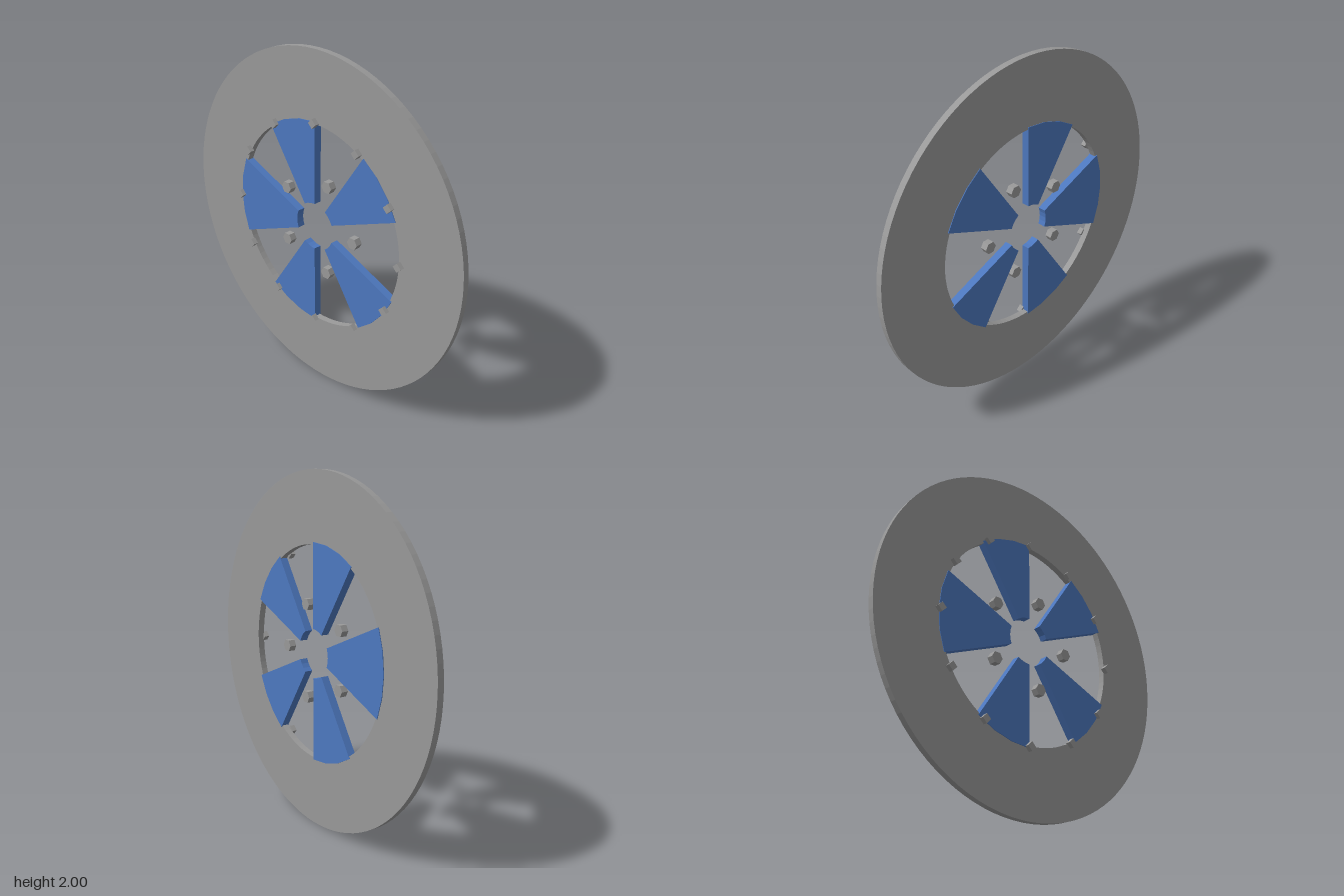
import * as THREE from 'three';

const STEP = Math.PI / 16; // wedge edges fall on 1/32-turn steps

export function createModel() {
  const grey = new THREE.MeshStandardMaterial({ color: 0x999999 });
  grey.name = 'steel grey';
  const blue = new THREE.MeshStandardMaterial({ color: 0x4d78bf });
  blue.name = 'blue';

  const model = new THREE.Group();
  model.name = 'wheelDisc';
  const wheel = new THREE.Group();
  wheel.name = 'wheel';
  wheel.position.y = 1;
  model.add(wheel);

  const add = (name, geometry, material, x = 0, y = 0, z = 0) => {
    const mesh = new THREE.Mesh(geometry, material);
    mesh.name = name;
    mesh.position.set(x, y, z);
    wheel.add(mesh);
  };
  const extrude = (shape, depth, curveSegments = 12) =>
    new THREE.ExtrudeGeometry(shape, { depth, curveSegments, bevelEnabled: false });

  // Outer ring
  const ring = new THREE.Shape().absarc(0, 0, 1, 0, Math.PI * 2, false);
  ring.holes.push(new THREE.Path().absarc(0, 0, 0.603, 0, Math.PI * 2, true));
  add('outerRing', extrude(ring, 0.038, 48), grey, 0, 0, -0.03);

  // Wedge spokes: first and last angular step of each
  [[2, 5], [8, 11], [14, 18], [21, 24], [27, 30]].forEach(([from, to]) => {
    const points = [];
    const point = (r, i) => points.push(new THREE.Vector2(r * Math.cos(i * STEP), r * Math.sin(i * STEP)));
    for (let i = from; i <= to; i++) point(0.616, i);
    for (let i = to; i >= from; i--) point(0.14, i);
    add('spoke', extrude(new THREE.Shape(points), 0.046), blue, 0, 0, -0.034);
  });

  // Faceted bolts, axis along z with a corner on +x
  const bolt = (radius, depth, sides) => new THREE.CylinderGeometry(radius, radius, depth, sides)
    .rotateX(Math.PI / 2).rotateZ(Math.PI / 2).toNonIndexed();
  const circle = (name, geometry, count, r, z) => {
    geometry.computeVertexNormals();
    for (let i = 0; i < count; i++) {
      const a = (i / count) * Math.PI * 2;
      add(name, geometry, grey, r * Math.cos(a), r * Math.sin(a), z);
    }
  };
  circle('rimBolt', bolt(0.027, 0.03, 4), 12, 0.61, 0.019);
  circle('hubBolt', bolt(0.036, 0.04, 6), 5, 0.28, -0.008);

  return model;
}
